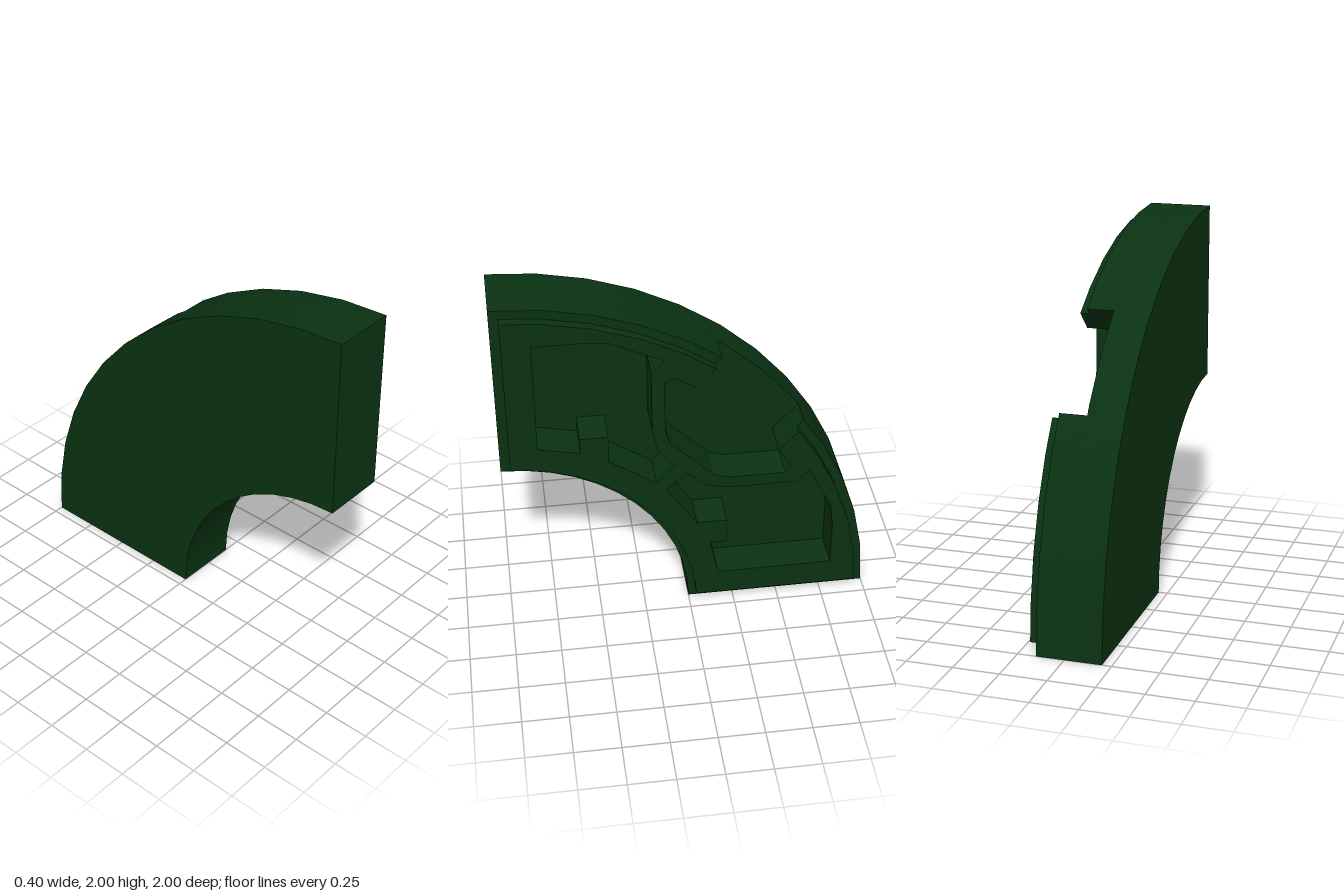
import * as THREE from 'three';
import { toCreasedNormals } from 'three/addons/utils/BufferGeometryUtils.js';

// Profiles are drawn in (u, y), symmetric about the diagonal u = y; u runs from front to back.
const STEP = Math.PI / 24;

// Swap a path across the diagonal, which also reverses its winding.
const swap = (pts) => pts.map(([u, y]) => [y, u]);

// Complete a half path by mirroring it across the diagonal.
function mirror(half) {
  const other = swap(half).reverse();
  const [u, y] = half[half.length - 1];
  return half.concat(Math.abs(u - y) < 1e-6 ? other.slice(1) : other);
}

// Faceted arc from the upper end towards the diagonal, cut off at u = inset.
function halfArc(r, inset, steps) {
  const pts = [[inset, Math.sqrt(r * r - inset * inset)]];
  for (let i = 1; i <= steps; i++) pts.push([r * Math.sin(i * STEP), r * Math.cos(i * STEP)]);
  return pts;
}

const toVectors = (pts) => pts.map(([u, y]) => new THREE.Vector2(u, y));

// Keyhole-like notch open to the outer rim (upper half, without its mouth point).
const notch = [[1.023, 1.478], [0.916, 1.548], [0.87, 1.52], [0.87, 1.216], [0.895, 1.13]];

// Upper pocket with its stepped lower edge, clockwise.
const pocket = [
  [0.2, 1.8], [0.47, 1.8], [0.6, 1.785], [0.87, 1.655], [0.8, 1.585], [0.8, 1.216], [0.83, 1.09],
  [0.92, 0.98], [0.82, 0.873], [0.57, 1.04], [0.57, 1.205], [0.42, 1.205], [0.42, 1.114], [0.2, 1.162],
];

// Quarter ring outline (clockwise), optionally cut by the notch and two counter-clockwise pockets.
function quarterRing(rOut, rIn, inset, mouth) {
  const outer = mouth
    ? mirror([...halfArc(rOut, inset, 4), mouth, ...notch])
    : mirror(halfArc(rOut, inset, 6));
  const inner = mirror(halfArc(rIn, inset, 6)).reverse();
  const shape = new THREE.Shape(toVectors([...outer, ...inner]));
  if (mouth) {
    shape.holes.push(new THREE.Path(toVectors([...pocket].reverse())));
    shape.holes.push(new THREE.Path(toVectors(swap(pocket))));
  }
  return shape;
}

export function createModel() {
  const group = new THREE.Group();
  group.name = 'quarterRingBlock';
  const material = new THREE.MeshStandardMaterial({ color: 0x0a3212 });

  function addLayer(name, shape, x0, x1) {
    const geometry = new THREE.ExtrudeGeometry(shape, { depth: x1 - x0, bevelEnabled: false });
    geometry.rotateY(Math.PI / 2); // u -> -z, depth -> +x
    geometry.translate(x0, 0, 1);
    // Smooth along the arcs, sharp at every real corner
    const mesh = new THREE.Mesh(toCreasedNormals(geometry, 0.2), material);
    mesh.name = name;
    group.add(mesh);
  }

  // Solid back plate, pocketed body, and the slightly inset raised face
  addLayer('backPlate', quarterRing(2, 1, 0), -0.2, 0);
  addLayer('pocketedBody', quarterRing(2, 1, 0, [1.172, 1.617]), 0, 0.15);
  addLayer('raisedFace', quarterRing(1.95, 1.04, 0.05, [1.135, 1.582]), 0.15, 0.2);

  return group;
}
